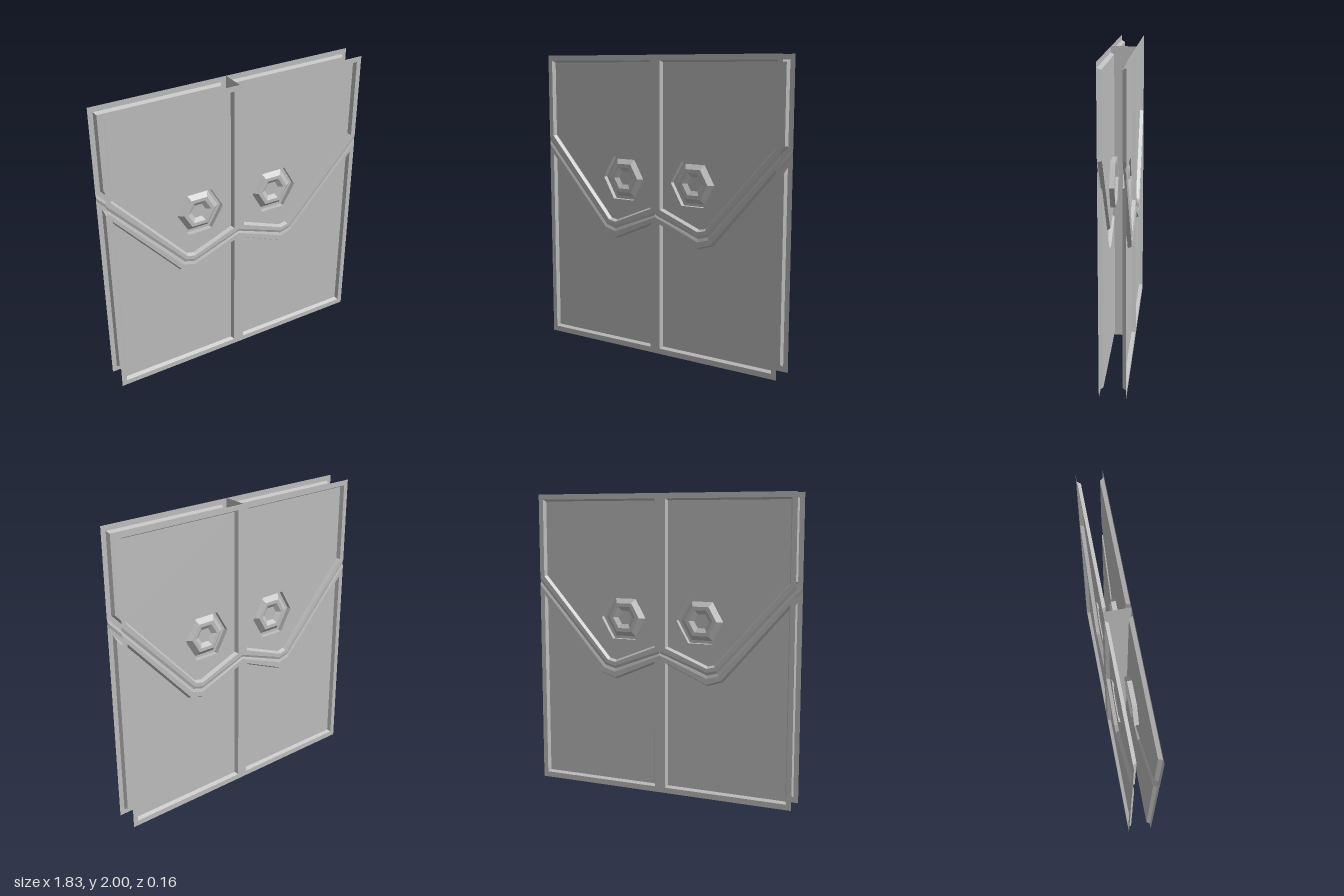
import * as THREE from 'three';

const HALF_W = 0.917, HEIGHT = 2, FACE_Z = 0.082, PANEL_Z = 0.058;

const grey = new THREE.MeshStandardMaterial({ color: 0xbebebe, side: THREE.DoubleSide });
grey.name = 'plain grey';

// Outlines for the +x leaf, counter-clockwise
const UPPER_PANEL = [[0.037, 0.99], [0.333, 0.873], [0.388, 0.885], [0.884, 1.44], [0.884, 1.965], [0.037, 1.965]];
const LOWER_PANEL = [[0.037, 0.037], [0.884, 0.037], [0.884, 1.312], [0.434, 0.8], [0.333, 0.768], [0.037, 0.894]];
// Groove lines, from the middle of the door to its side
const GROOVE_TOP = [[0, 0.968], [0.335, 0.847], [0.398, 0.863], [HALF_W, 1.43]];
const GROOVE_MID = [[0, 0.953], [0.335, 0.828], [0.408, 0.848], [HALF_W, 1.405]];
const GROOVE_LOW = [[0, 0.938], [0.335, 0.806], [0.418, 0.83], [HALF_W, 1.38]];

// Hexagonal boss: radius and depth of each ring, from the panel inward
const BOSS_CENTER = [0.278, 1.175];
const BOSS_RINGS = [[0.168, PANEL_Z], [0.168, 0.026], [0.147, 0.026], [0.111, 0.054], [0.084, 0.054], [0.052, 0.036]];

const hexagon = (r) => Array.from({ length: 6 }, (_, i) => [
  BOSS_CENTER[0] + r * Math.cos(i * Math.PI / 3),
  BOSS_CENTER[1] + r * Math.sin(i * Math.PI / 3),
]);

const mirror = (pts, side) => side > 0 ? pts : pts.map(([x, y]) => [-x, y]).reverse();

// Move every edge of a counter-clockwise outline inward by d
function inset(pts, d) {
  const n = pts.length;
  return pts.map((p, i) => {
    const a = pts[(i + n - 1) % n], b = pts[(i + 1) % n];
    const normal = (s, e) => {
      const l = Math.hypot(e[0] - s[0], e[1] - s[1]);
      return [-(e[1] - s[1]) / l, (e[0] - s[0]) / l];
    };
    const n1 = normal(a, p), n2 = normal(p, b);
    const k = d / (1 + n1[0] * n2[0] + n1[1] * n2[1]);
    return [p[0] + k * (n1[0] + n2[0]), p[1] + k * (n1[1] + n2[1])];
  });
}

// Flat sheet with optional holes
function sheet(pts, z, holes = []) {
  const toVectors = (list) => list.map(([x, y]) => new THREE.Vector2(x, y));
  const shape = new THREE.Shape(toVectors(pts));
  shape.holes = holes.map((h) => new THREE.Path(toVectors(h)));
  return new THREE.ShapeGeometry(shape).translate(0, 0, z);
}

// Band of flat quads between two outlines of equal length
function band(a, za, b, zb, closed = true) {
  const pos = [], n = a.length;
  for (let i = 0; i < (closed ? n : n - 1); i++) {
    const j = (i + 1) % n;
    const p = [...a[i], za], q = [...a[j], za], r = [...b[j], zb], s = [...b[i], zb];
    pos.push(...p, ...q, ...r, ...p, ...r, ...s);
  }
  const g = new THREE.BufferGeometry();
  g.setAttribute('position', new THREE.Float32BufferAttribute(pos, 3));
  g.computeVertexNormals();
  return g;
}

function createLeaf(side) {
  const leaf = new THREE.Group();
  leaf.name = side > 0 ? 'leftLeaf' : 'rightLeaf';
  const add = (name, geometry) => {
    const mesh = new THREE.Mesh(geometry, grey);
    mesh.name = name;
    leaf.add(mesh);
  };
  const m = (pts) => mirror(pts, side);

  // Frame above and below the groove
  add('upperFrame', sheet(m([...GROOVE_TOP, [HALF_W, HEIGHT], [0, HEIGHT]]), FACE_Z, [m(UPPER_PANEL)]));
  add('lowerFrame', sheet(m([[0, 0], [HALF_W, 0], ...[...GROOVE_LOW].reverse()]), FACE_Z, [m(LOWER_PANEL)]));

  // Shallow groove across the leaf
  add('grooveLowerSlope', band(m(GROOVE_LOW), FACE_Z, m(GROOVE_MID), FACE_Z - 0.006, false));
  add('grooveUpperSlope', band(m(GROOVE_MID), FACE_Z - 0.006, m(GROOVE_TOP), FACE_Z, false));

  // Recessed panels with bevelled edges
  const panels = [['upperPanel', UPPER_PANEL, [hexagon(BOSS_RINGS[0][0])]], ['lowerPanel', LOWER_PANEL, []]];
  for (const [name, outline, holes] of panels) {
    const inner = inset(outline, 0.012);
    add(name + 'Bevel', band(m(outline), FACE_Z, m(inner), PANEL_Z));
    add(name, sheet(m(inner), PANEL_Z, holes.map(m)));
  }

  // Hexagonal boss sunk in a well
  for (let i = 0; i + 1 < BOSS_RINGS.length; i++) {
    const [ra, za] = BOSS_RINGS[i], [rb, zb] = BOSS_RINGS[i + 1];
    add('bossRing' + (i + 1), band(m(hexagon(ra)), za, m(hexagon(rb)), zb));
  }
  const [r, z] = BOSS_RINGS[BOSS_RINGS.length - 1];
  add('bossFloor', sheet(m(hexagon(r)), z));
  return leaf;
}

export function createModel() {
  const door = new THREE.Group();
  door.name = 'doubleDoor';

  // Same face on the front and the back
  for (const [name, turn] of [['frontFace', 0], ['backFace', Math.PI]]) {
    const face = new THREE.Group();
    face.name = name;
    face.add(createLeaf(1), createLeaf(-1));
    face.rotation.y = turn;
    door.add(face);
  }

  // Thin divider joining the two faces where the leaves meet
  const divider = new THREE.Mesh(new THREE.PlaneGeometry(FACE_Z * 2, HEIGHT), grey);
  divider.name = 'centreDivider';
  divider.rotation.y = Math.PI / 2;
  divider.position.y = HEIGHT / 2;
  door.add(divider);
  return door;
}
